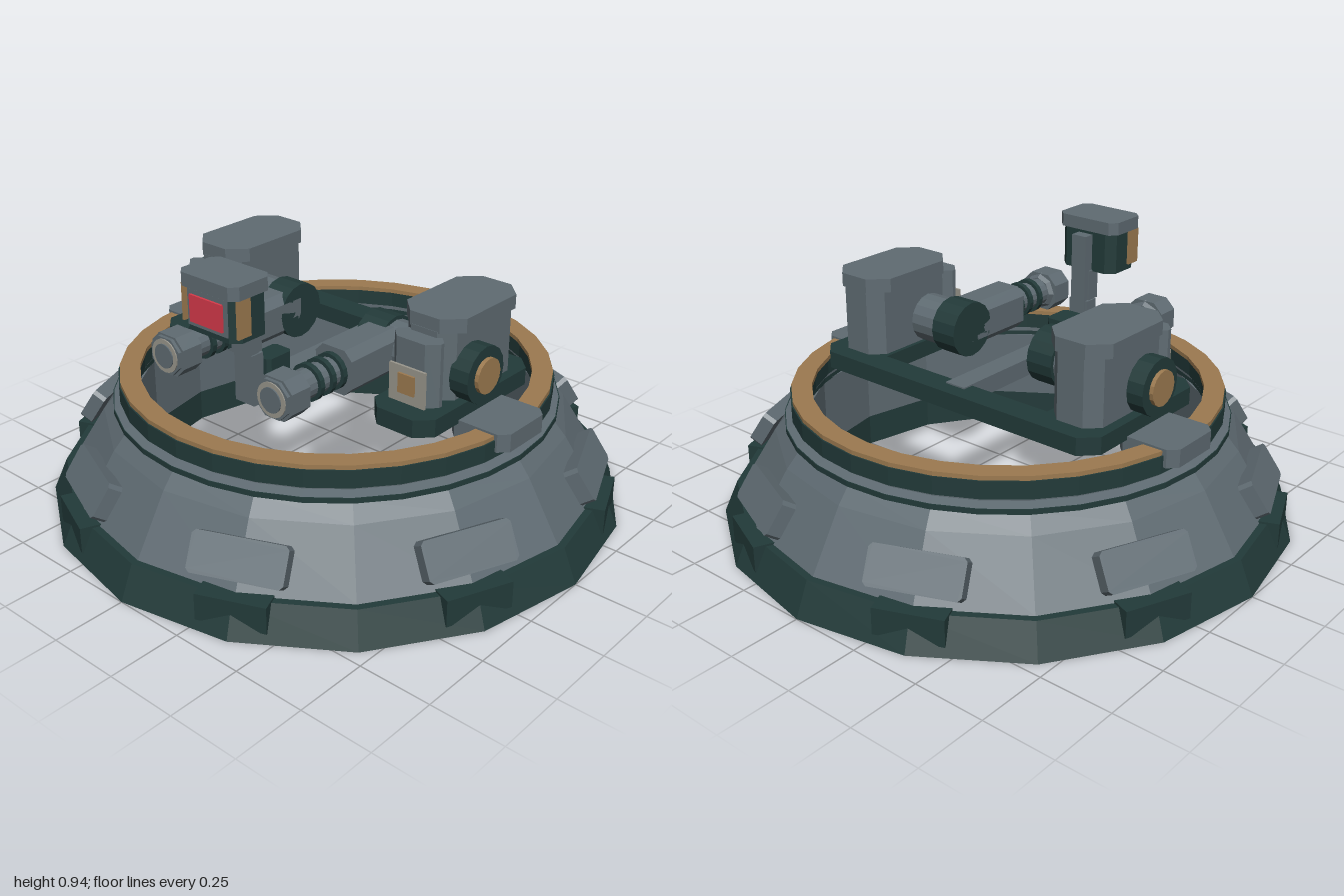
import * as THREE from 'three';

const paint = (name, color) => {
  const m = new THREE.MeshStandardMaterial({ color });
  m.name = name;
  return m;
};

export function createModel() {
  const grey = paint('slate grey', 0x5f6b72);
  const dark = paint('dark green', 0x223a39);
  const gold = paint('bronze', 0x9c7a50);
  const pale = paint('pale grey', 0x99968c);
  const red = paint('signal red', 0xd63a4a);

  const model = new THREE.Group();
  model.name = 'ringMount';

  // Faceted mesh: every face gets its own flat normal
  const add = (parent, name, geo, mat) => {
    const flat = geo.index ? geo.toNonIndexed() : geo;
    flat.computeVertexNormals();
    const mesh = new THREE.Mesh(flat, mat);
    mesh.name = name;
    parent.add(mesh);
    return mesh;
  };

  // Ring from a closed (radius, height) profile: up the outside, down the inside
  const ring = (name, mat, sides, pts) => {
    const p = [...pts, pts[0]].map(([r, y]) => new THREE.Vector2(r, y));
    return add(model, name, new THREE.LatheGeometry(p, sides), mat);
  };

  // Block given by its ranges, corners cut by c when looking along the axis
  const block = (parent, name, mat, X, Y, Z, c = 0, axis = 'y') => {
    const size = [X, Y, Z].map(([a, b]) => Math.abs(b - a));
    const mid = [X, Y, Z].map(([a, b]) => (a + b) / 2);
    let geo;
    if (c === 0) geo = new THREE.BoxGeometry(...size);
    else {
      const [w, h, d] = axis === 'y' ? [size[0], size[2], size[1]] : size;
      const x = w / 2, y = h / 2;
      const outline = [[x - c, -y], [x, c - y], [x, y - c], [x - c, y],
        [c - x, y], [-x, y - c], [-x, c - y], [c - x, -y]];
      const shape = new THREE.Shape(outline.map(([a, b]) => new THREE.Vector2(a, b)));
      geo = new THREE.ExtrudeGeometry(shape, { depth: d, bevelEnabled: false });
      geo.translate(0, 0, -d / 2);
      if (axis === 'y') geo.rotateX(-Math.PI / 2);
    }
    const mesh = add(parent, name, geo, mat);
    mesh.position.set(...mid);
    return mesh;
  };

  // Cylinder along x or z between two coordinates
  const rod = (parent, name, mat, axis, [a, b], u, v, r0, r1 = r0, sides = 16) => {
    const geo = new THREE.CylinderGeometry(r1, r0, Math.abs(b - a), sides);
    if (axis === 'x') geo.rotateZ(-Math.PI / 2);
    else geo.rotateX(Math.PI / 2);
    const mesh = add(parent, name, geo, mat);
    const m = (a + b) / 2;
    if (axis === 'x') mesh.position.set(m, u, v);
    else mesh.position.set(u, v, m);
    return mesh;
  };

  // Base rings
  ring('skirt', dark, 16, [[1, 0], [0.95, 0.115], [0.7, 0.115], [0.7, 0]]);
  ring('hull', grey, 16, [[0.925, 0.115], [0.805, 0.31], [0.76, 0.365], [0.7, 0.365], [0.7, 0.115]]);
  ring('lowerCollar', dark, 32, [[0.768, 0.362], [0.768, 0.38], [0.695, 0.38], [0.695, 0.362]]);
  ring('neck', grey, 32, [[0.765, 0.38], [0.73, 0.388], [0.73, 0.41], [0.695, 0.41], [0.695, 0.38]]);
  ring('upperCollar', dark, 32, [[0.745, 0.4], [0.745, 0.46], [0.68, 0.46], [0.68, 0.4]]);
  ring('bronzeRail', gold, 32, [[0.74, 0.46], [0.74, 0.475], [0.67, 0.475], [0.67, 0.46]]);

  // Armour panels and skirt lugs around the hull
  for (let i = 0; i < 8; i++) {
    const sector = new THREE.Group();
    sector.name = 'armourSector';
    sector.rotation.y = (i + 0.5) * Math.PI / 4;
    model.add(sector);
    const panel = block(sector, 'armourPanel', grey, [-0.155, 0.155], [-0.065, 0.065], [-0.025, 0.025], 0.012, 'z');
    panel.position.set(0, 0.213, 0.882);
    panel.rotation.x = -0.57;
    block(sector, 'skirtLug', dark, [-0.115, 0.115], [0.03, 0.122], [0.86, 0.968]);
  }

  // Carrier frame
  block(model, 'rearBeam', dark, [-0.57, 0.57], [0.47, 0.53], [-0.325, -0.23], 0.03);
  block(model, 'centreBeam', grey, [-0.04, 0.04], [0.472, 0.535], [-0.27, 0.44]);
  block(model, 'beamBox', dark, [-0.04, 0.04], [0.53, 0.61], [0.26, 0.37], 0.012);

  // Side units, mirrored
  for (const s of [-1, 1]) {
    const unit = new THREE.Group();
    unit.name = s > 0 ? 'leftUnit' : 'rightUnit';
    model.add(unit);
    const X = (a, b) => [s * a, s * b];

    block(unit, 'ringBracket', grey, X(0.55, 0.772), [0.42, 0.482], [-0.135, 0.1], 0.03);
    block(unit, 'sideRail', dark, X(0.355, 0.595), [0.47, 0.53], [-0.32, 0.27], 0.05);

    // Motor housing
    block(unit, 'housing', grey, X(0.37, 0.56), [0.53, 0.765], [-0.26, 0.12], 0.045);
    block(unit, 'housingCap', grey, X(0.348, 0.582), [0.76, 0.808], [-0.265, 0.118], 0.06);
    block(unit, 'housingNose', grey, X(0.375, 0.555), [0.53, 0.745], [0.1, 0.185], 0.035);
    block(unit, 'nosePlate', pale, X(0.39, 0.53), [0.53, 0.655], [0.185, 0.194]);
    block(unit, 'noseLens', gold, X(0.43, 0.493), [0.565, 0.632], [0.194, 0.202]);
    rod(unit, 'sideHub', dark, 'x', X(0.55, 0.62), 0.61, 0, 0.097);
    rod(unit, 'sideHubFace', gold, 'x', X(0.62, 0.634), 0.61, 0, 0.06);

    // Shoulder joint and barrel
    rod(unit, 'shoulder', grey, 'x', X(0.26, 0.375), 0.61, 0, 0.085);
    rod(unit, 'shoulderDrum', dark, 'x', X(0.162, 0.262), 0.61, 0, 0.098);
    const bx = s * 0.237, by = 0.61;
    block(unit, 'barrelBlock', grey, X(0.162, 0.312), [0.532, 0.687], [0, 0.282], 0.03, 'z');
    rod(unit, 'barrel', grey, 'z', [0.27, 0.48], bx, by, 0.05);
    for (const z of [0.295, 0.345, 0.4]) {
      rod(unit, 'barrelBand', dark, 'z', [z - 0.009, z + 0.009], bx, by, 0.063);
    }
    rod(unit, 'muzzleCollar', grey, 'z', [0.455, 0.475], bx, by, 0.055, 0.07, 8);
    block(unit, 'muzzle', grey, X(0.164, 0.31), [0.542, 0.678], [0.47, 0.55], 0.035, 'z');
    block(unit, 'muzzleTip', grey, X(0.172, 0.302), [0.548, 0.672], [0.55, 0.562], 0.035, 'z');
    rod(unit, 'muzzleRing', pale, 'z', [0.56, 0.566], bx, by, 0.058, 0.058, 20);
    rod(unit, 'muzzleBore', grey, 'z', [0.564, 0.57], bx, by, 0.042, 0.042, 20);
  }

  // Sensor mast and head
  const mast = new THREE.Group();
  mast.name = 'sensorMast';
  model.add(mast);
  block(mast, 'mastPost', grey, [-0.03, 0.03], [0.475, 0.89], [0.39, 0.43]);
  block(mast, 'mastFoot', grey, [-0.04, 0.04], [0.475, 0.65], [0.395, 0.445]);
  block(mast, 'mastBrace', grey, [-0.035, 0.035], [0.65, 0.76], [0.41, 0.46]);
  block(mast, 'sensorHead', dark, [-0.115, 0.115], [0.755, 0.905], [0.43, 0.585], 0.03);
  block(mast, 'sensorCap', grey, [-0.125, 0.125], [0.9, 0.945], [0.428, 0.598], 0.025);
  block(mast, 'screenFrame', grey, [-0.085, 0.085], [0.775, 0.895], [0.58, 0.59]);
  block(mast, 'screen', red, [-0.07, 0.07], [0.79, 0.88], [0.59, 0.598]);
  for (const s of [-1, 1]) {
    block(mast, 'sensorSidePlate', gold, [s * 0.114, s * 0.123], [0.775, 0.9], [0.525, 0.58]);
  }
  return model;
}
